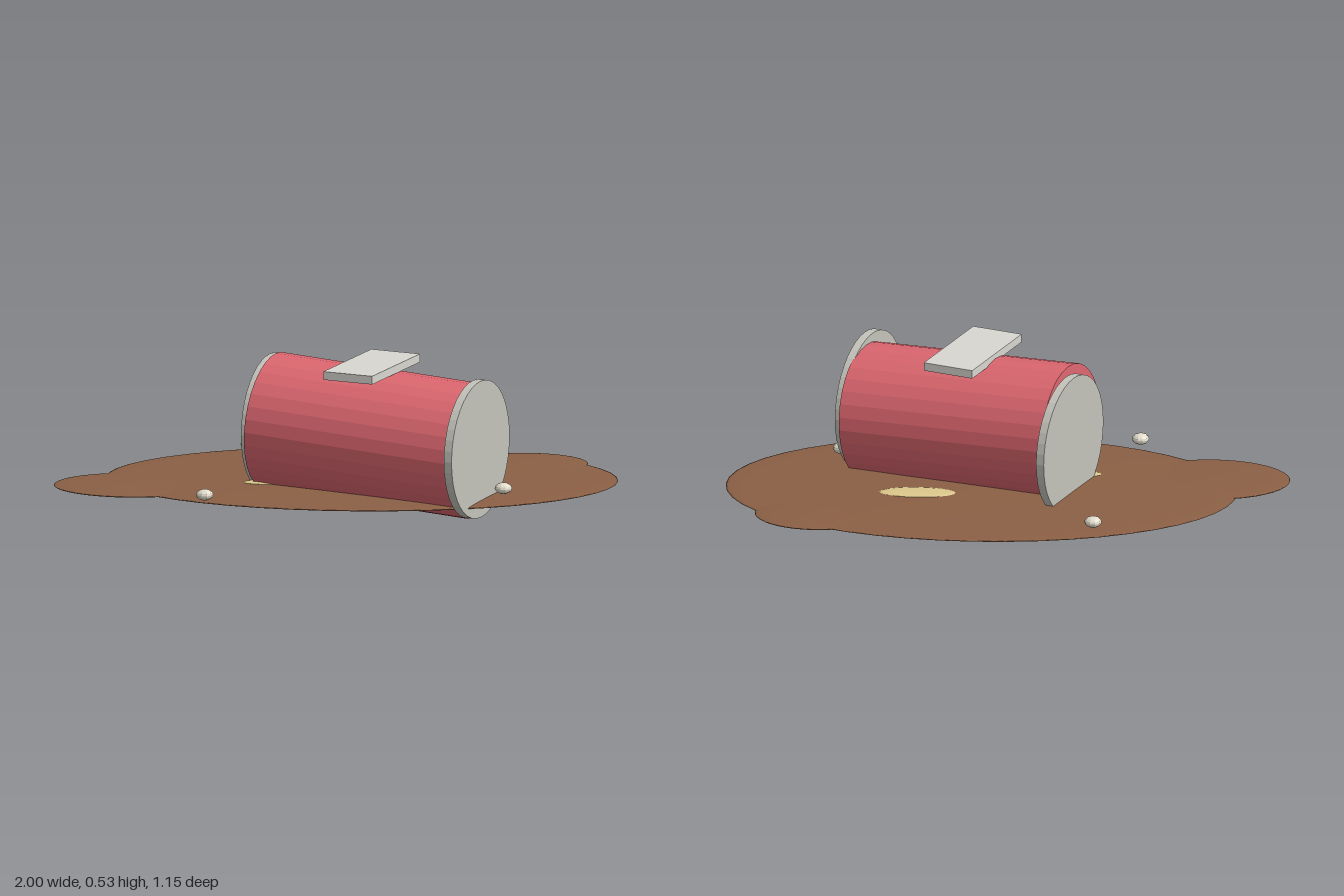
import * as THREE from 'three';

const mat = (color, flatShading = false) => new THREE.MeshStandardMaterial({ color, flatShading });

export function createModel() {
  const model = new THREE.Group();
  const yaw = -0.384;

  const add = (name, geometry, material, position, parent = model) => {
    const mesh = new THREE.Mesh(geometry, material);
    mesh.name = name;
    mesh.position.set(...position);
    parent.add(mesh);
    return mesh;
  };
  // Squashed sphere with separate radii
  const blob = (name, material, position, radii, w = 40, h = 24, parent = model) => {
    const geometry = new THREE.SphereGeometry(1, w, h).scale(...radii);
    return add(name, geometry, material, position, parent);
  };

  // Spilled puddle: main pool, darker underside and two side lobes
  const brown = mat(0x8b6045);
  const puddle = new THREE.Group();
  puddle.name = 'puddle';
  model.add(puddle);
  blob('mainPool', brown, [0.09, 0.068, -0.037], [0.91, 0.016, 0.535], 48, 24, puddle);
  blob('darkUnderside', mat(0x684835), [0.09, 0.064, -0.037], [0.837, 0.017, 0.492], 48, 24, puddle);
  blob('leftLobe', brown, [-0.72, 0.068, 0.105], [0.28, 0.012, 0.2], 40, 20, puddle);
  blob('rightLobe', brown, [0.66, 0.068, -0.32], [0.22, 0.012, 0.165], 40, 20, puddle);

  // Pale flecks floating on the puddle
  const yellow = mat(0xdcc88c, true);
  blob('fleckBack', yellow, [0.312, 0.083, -0.125], [0.137, 0.007, 0.05], 20, 10);
  blob('fleckSide', yellow, [-0.24, 0.082, 0.1], [0.088, 0.007, 0.035], 20, 10);

  // Small beads beside the can
  const cream = mat(0xe2dccb, true);
  for (const [x, z] of [[-0.45, 0.41], [-0.33, -0.44], [0.605, 0.255]]) {
    blob('bead', cream, [x, 0.103, z], [0.031, 0.02, 0.031], 10, 8);
  }

  // Can lying on its side, dipping slightly toward +x
  const body = add('canBody',
    new THREE.CylinderGeometry(0.242, 0.242, 0.8, 32).rotateZ(Math.PI / 2),
    mat(0xdc666f, true), [0.142, 0.264, 0.135]);
  body.rotation.set(0, yaw, -0.055);

  // End discs, set off-centre from the body
  const metal = mat(0xc4c4bc, true);
  for (const [name, x, z] of [['leftEnd', -0.226, -0.075], ['rightEnd', 0.514, 0.338]]) {
    const disc = add(name,
      new THREE.CylinderGeometry(0.248, 0.248, 0.03, 40).rotateZ(Math.PI / 2),
      metal, [x, 0.263, z]);
    disc.rotation.y = yaw;
  }

  // Flat label plate on top
  const label = add('labelPlate', new THREE.BoxGeometry(0.19, 0.03, 0.41),
    mat(0xd8d7d0), [0.132, 0.516, 0.147]);
  label.rotation.y = yaw;

  return model;
}
